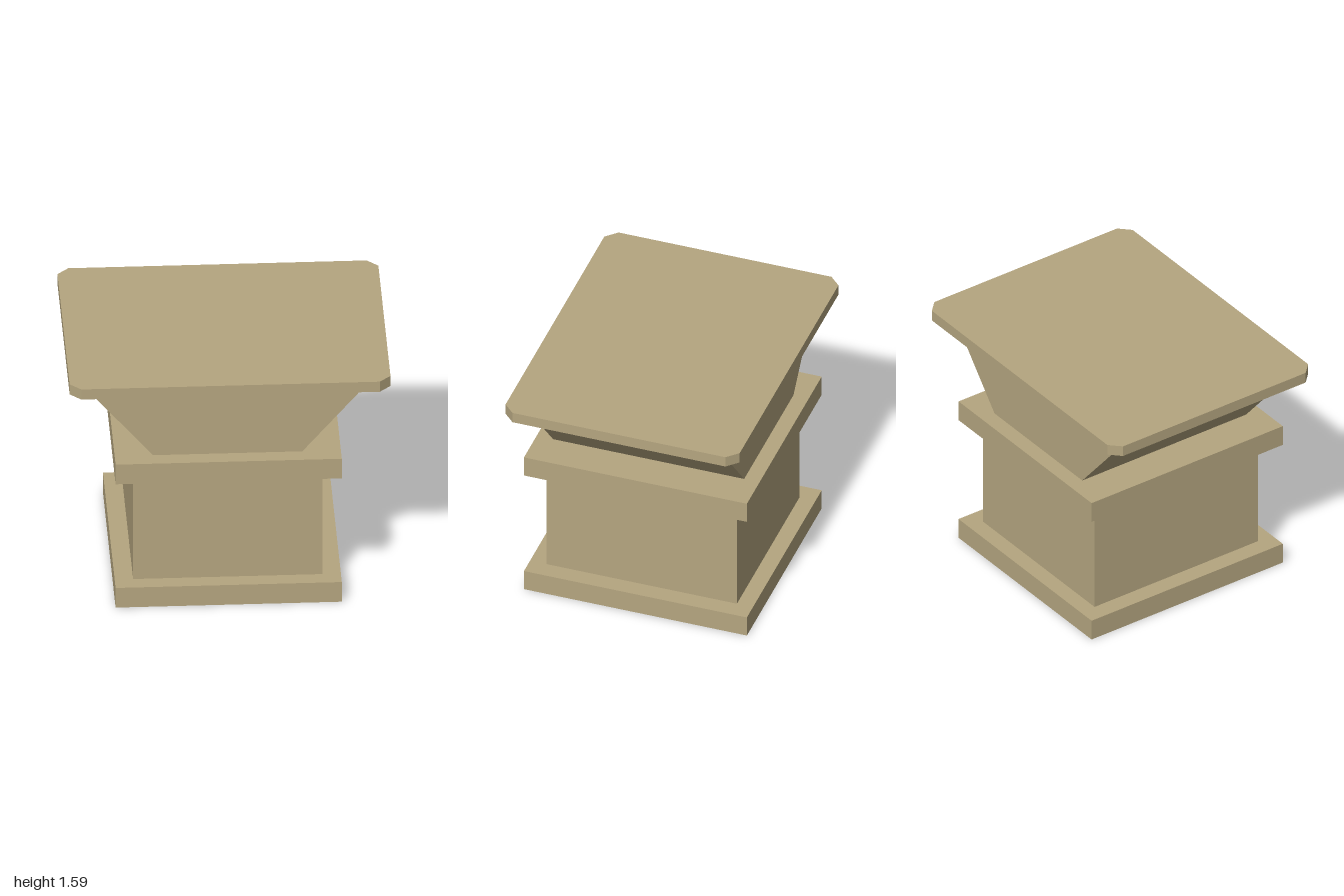
import * as THREE from 'three';

export function createModel() {
  const model = new THREE.Group();
  const stone = new THREE.MeshStandardMaterial({ color: 0xb5a680 });
  stone.name = 'sandstone';

  const add = (name, geometry, x, y, z) => {
    const mesh = new THREE.Mesh(geometry, stone);
    mesh.name = name;
    mesh.position.set(x, y, z);
    model.add(mesh);
  };

  // Extrude an x/y outline along z, centred
  const prism = (points, depth) => {
    const shape = new THREE.Shape(points.map(([x, y]) => new THREE.Vector2(x, y)));
    return new THREE.ExtrudeGeometry(shape, { depth, bevelEnabled: false }).translate(0, 0, -depth / 2);
  };

  // Square pedestal: plinth, shaft and collar
  const cx = -0.01;
  add('plinth', new THREE.BoxGeometry(1.41, 0.14, 1.47), cx, 0.07, -0.002);
  add('shaft', new THREE.BoxGeometry(1.18, 0.74, 1.256), cx, 0.51, -0.003);
  add('collar', new THREE.BoxGeometry(1.41, 0.14, 1.47), cx, 0.95, -0.002);

  // Capital flaring out to the left and right only
  const flare = [[-0.465, 1.02], [0.465, 1.02], [0.89, 1.513], [-0.89, 1.513]];
  add('flaredCapital', prism(flare, 1.26), cx, 0, -0.005);

  // Top slab with clipped corners
  const w = 1, d = 0.772, c = 0.07;
  const outline = [
    [-w + c, -d], [w - c, -d], [w, -d + c], [w, d - c],
    [w - c, d], [-w + c, d], [-w, d - c], [-w, -d + c],
  ];
  const slab = prism(outline, 0.072).rotateX(-Math.PI / 2);
  add('topSlab', slab, 0, 1.549, 0);

  return model;
}
